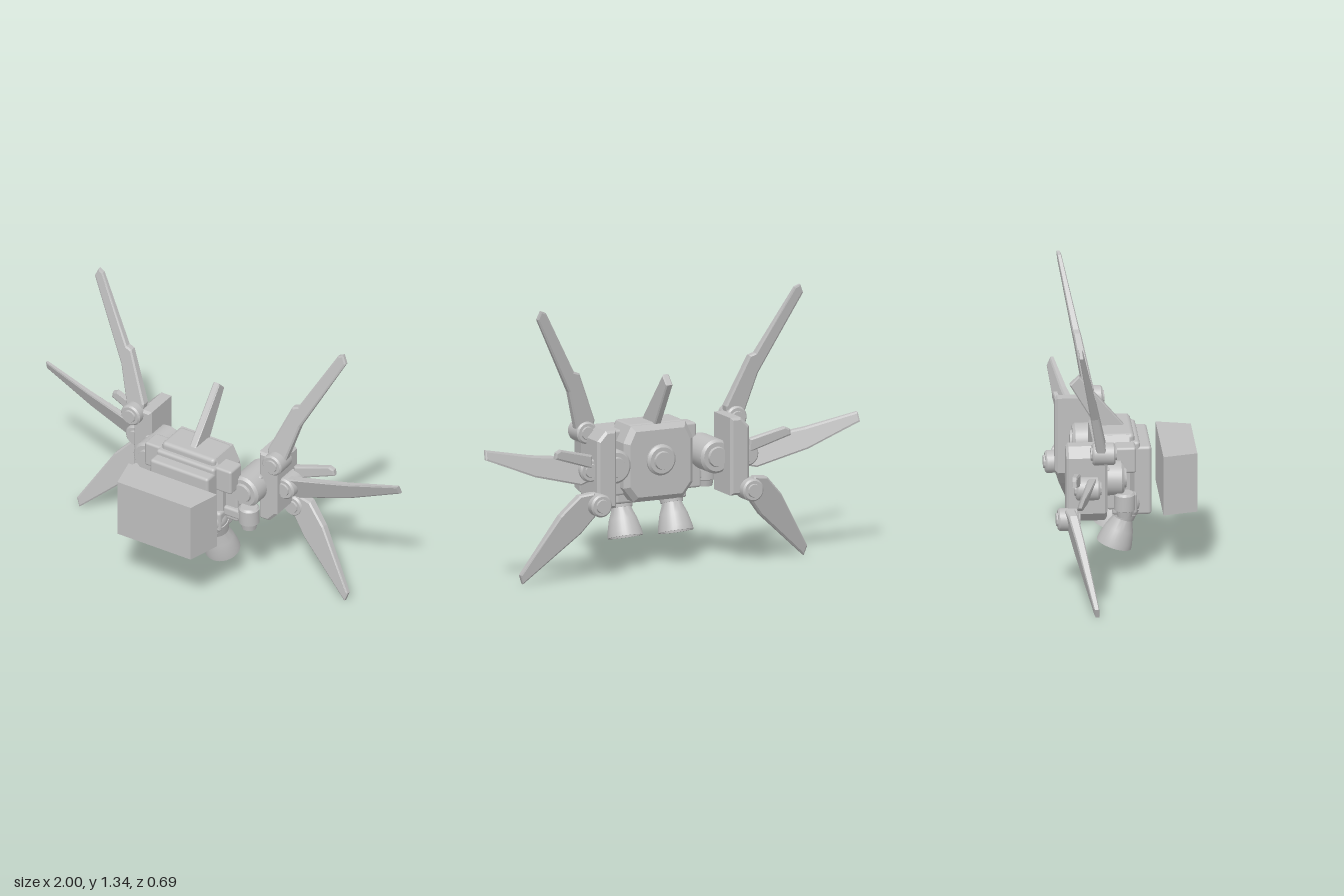
import * as THREE from 'three';
import { RoundedBoxGeometry } from 'three/addons/geometries/RoundedBoxGeometry.js';
import { toCreasedNormals } from 'three/addons/utils/BufferGeometryUtils.js';

const grey = new THREE.MeshStandardMaterial({ color: 0xbebebe });
grey.name = 'plain grey';
const greyOpen = new THREE.MeshStandardMaterial({ color: 0xbebebe, side: THREE.DoubleSide });
greyOpen.name = 'plain grey';

function add(parent, name, geometry, x = 0, y = 0, z = 0, material = grey) {
  const mesh = new THREE.Mesh(geometry, material);
  mesh.name = name;
  mesh.position.set(x, y, z);
  parent.add(mesh);
  return mesh;
}

// Rounded box given by its x, y and z limits
function block(parent, name, x0, x1, y0, y1, z0, z1, r = 0.012) {
  const g = new RoundedBoxGeometry(x1 - x0, y1 - y0, z1 - z0, 2, r);
  return add(parent, name, g, (x0 + x1) / 2, (y0 + y1) / 2, (z0 + z1) / 2);
}

// Bevelled plate drawn in x-y, centred on z = 0, outer size kept
function plate(points, depth, bevel) {
  const g = new THREE.ExtrudeGeometry(
    new THREE.Shape(points.map(([x, y]) => new THREE.Vector2(x, y))),
    { depth: depth - 2 * bevel, bevelEnabled: true, bevelSegments: 1,
      bevelSize: bevel, bevelThickness: bevel, bevelOffset: -bevel });
  return g.translate(0, 0, bevel - depth / 2);
}

// Bevelled drum along z, with a thin raised cap at each end
function drum(parent, name, x, y, z0, z1, r) {
  const h = (z1 - z0) / 2, b = r * 0.15;
  const profile = [[0, -h], [r * 0.55, -h], [r * 0.6, -h + b], [r - b, -h + b], [r, -h + 2 * b],
    [r, h - 2 * b], [r - b, h - b], [r * 0.6, h - b], [r * 0.55, h], [0, h]];
  const g = new THREE.LatheGeometry(profile.map(([a, c]) => new THREE.Vector2(a, c)), 28);
  add(parent, name, toCreasedNormals(g, 0.5).rotateX(Math.PI / 2), x, y, (z0 + z1) / 2);
}

// Tapering blade that sweeps in z from root to tip, optionally twisted
function blade(parent, name, points, root, tip, thick, thin, twist = 0) {
  const g = plate(points, 1, 0.008);
  const p = g.attributes.position;
  const axis = new THREE.Vector2(tip[0] - root[0], tip[1] - root[1]);
  const len = axis.length();
  axis.normalize();
  for (let i = 0; i < p.count; i++) {
    const dx = p.getX(i) - root[0], dy = p.getY(i) - root[1];
    const t = (dx * axis.x + dy * axis.y) / len;
    const across = dy * axis.x - dx * axis.y;
    const side = Math.abs(p.getZ(i)) > 0.495 ? 0.5 : 0.35;
    p.setZ(i, THREE.MathUtils.lerp(root[2], tip[2], t) + twist * across
      + Math.sign(p.getZ(i)) * side * THREE.MathUtils.lerp(thick, thin, t));
  }
  g.computeVertexNormals();
  add(parent, name, g);
}

function buildSide() {
  const side = new THREE.Group();
  // Shoulder joint
  block(side, 'shoulderBlock', 0.15, 0.245, 0.54, 0.67, -0.05, 0.05);
  block(side, 'shoulderBracket', 0.16, 0.25, 0.36, 0.54, -0.09, 0.0);
  drum(side, 'shoulderDrum', 0.27, 0.53, -0.23, 0.0, 0.083);
  block(side, 'podArm', 0.25, 0.33, 0.47, 0.6, -0.18, -0.08);

  // Small vertical canister
  block(side, 'canisterArm', 0.18, 0.34, 0.39, 0.44, -0.045, 0.02);
  const can = [[0, -0.06], [0.035, -0.06], [0.04, -0.03], [0.05, -0.025], [0.05, 0.05], [0.04, 0.06], [0, 0.06]];
  add(side, 'canister', toCreasedNormals(new THREE.LatheGeometry(
    can.map(([a, b]) => new THREE.Vector2(a, b)), 24), 0.5), 0.31, 0.41, -0.01);

  // Wing pod
  add(side, 'wingPod', plate([[0.305, 0.35], [0.36, 0.35], [0.405, 0.4], [0.405, 0.68],
    [0.36, 0.727], [0.305, 0.727]], 0.195, 0.012), 0, 0, -0.197);

  // Hinges
  drum(side, 'upperHinge', 0.4, 0.7, -0.18, -0.055, 0.054);
  drum(side, 'middleHinge', 0.42, 0.533, -0.26, -0.13, 0.056);
  drum(side, 'lowerHinge', 0.405, 0.375, -0.345, -0.23, 0.055);

  // Blades
  blade(side, 'upperWing', [[0.37, 0.65], [0.43, 0.65], [0.455, 0.74], [0.505, 0.91], [0.71, 1.295],
    [0.692, 1.337], [0.665, 1.325], [0.485, 1.01], [0.455, 1.0], [0.35, 0.755]],
  [0.4, 0.7, -0.125], [0.69, 1.33, -0.25], 0.05, 0.02);
  blade(side, 'middleWing', [[0.42, 0.475], [0.47, 0.465], [0.73, 0.535], [1.0, 0.645],
    [0.995, 0.69], [0.73, 0.632], [0.42, 0.585]],
  [0.42, 0.53, -0.19], [1.0, 0.66, -0.27], 0.045, 0.02, 0.4);
  blade(side, 'winglet', [[0.42, 0.545], [0.63, 0.615], [0.625, 0.645], [0.6, 0.657], [0.42, 0.61]],
    [0.42, 0.57, -0.245], [0.63, 0.64, -0.275], 0.035, 0.025);
  blade(side, 'lowerWing', [[0.38, 0.36], [0.48, 0.235], [0.75, 0], [0.766, 0.045],
    [0.59, 0.33], [0.5, 0.425], [0.43, 0.435]],
  [0.42, 0.39, -0.275], [0.757, 0.02, -0.175], 0.05, 0.025);

  // Tilted thruster: collars and an open bell
  const thruster = new THREE.Group();
  thruster.name = 'thruster';
  thruster.position.set(0.135, 0.33, 0.01);
  thruster.rotation.x = 0.31;
  side.add(thruster);
  add(thruster, 'thrusterBall', new THREE.SphereGeometry(0.062, 24, 16), 0, 0.03, 0);
  for (const [y, r] of [[0.0, 0.066], [-0.035, 0.058]]) {
    add(thruster, 'thrusterCollar', new THREE.CylinderGeometry(r, r - 0.004, 0.03, 28), 0, y, 0);
  }
  const bell = [[0, -0.06], [0.04, -0.065], [0.06, -0.11], [0.077, -0.19], [0.086, -0.19],
    [0.083, -0.165], [0.068, -0.105], [0.05, -0.06], [0.045, -0.03]];
  add(thruster, 'thrusterBell', toCreasedNormals(new THREE.LatheGeometry(
    bell.map(([a, b]) => new THREE.Vector2(a, b)), 32), 0.7), 0, 0, 0, greyOpen);
  return side;
}

// Mirrored copy with corner order restored
function mirrorSide(source) {
  const copy = source.clone(true);
  copy.scale.x = -1;
  return copy;
}

export function createModel() {
  const model = new THREE.Group();
  model.name = 'wingedBackpack';

  // Core body with chamfered outline
  add(model, 'coreBody', plate([[-0.13, 0.33], [0.13, 0.33], [0.185, 0.4], [0.185, 0.62],
    [0.145, 0.7], [-0.145, 0.7], [-0.185, 0.62], [-0.185, 0.4]], 0.2, 0.025), 0, 0, -0.05);
  block(model, 'topCap', -0.15, 0.15, 0.64, 0.705, -0.12, 0.05, 0.02);
  block(model, 'topLip', -0.165, 0.165, 0.6, 0.67, 0.0, 0.075, 0.015);
  block(model, 'frontSlab', -0.165, 0.165, 0.3, 0.645, 0.04, 0.13, 0.015);
  block(model, 'lowerBlock', -0.19, 0.19, 0.31, 0.42, -0.06, 0.06, 0.015);

  // Round hub on the back
  drum(model, 'backHub', 0, 0.53, -0.185, -0.13, 0.075);

  // Raked centre fin, drawn in z-y and turned upright
  const fin = plate([[-0.02, 0.69], [0.12, 0.69], [0.25, 0.91], [0.205, 0.955]], 0.036, 0.006);
  add(model, 'centreFin', fin.rotateY(Math.PI / 2));

  // Separate tapered block in front
  const front = new THREE.BoxGeometry(0.5, 0.295, 0.165);
  const p = front.attributes.position;
  for (let i = 0; i < p.count; i++) if (p.getZ(i) > 0) p.setX(i, p.getX(i) * 0.83);
  front.computeVertexNormals();
  add(model, 'frontBlock', front, 0, 0.4725, 0.2625);

  const left = buildSide();
  left.name = 'leftSide';
  const right = mirrorSide(left);
  right.name = 'rightSide';
  model.add(left, right);
  return model;
}
